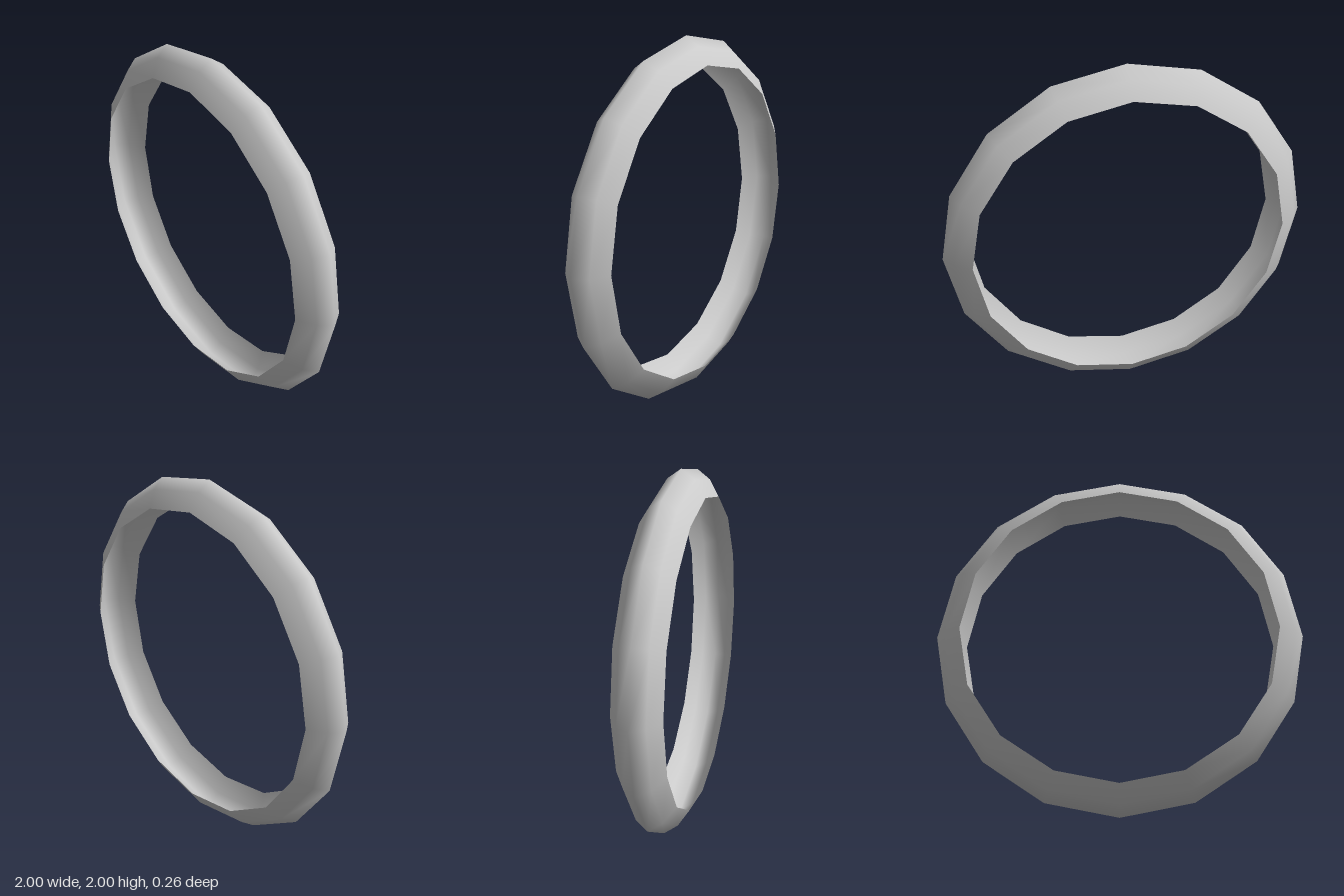
import * as THREE from 'three';

const SIDES = 16;

export function createModel() {
  const group = new THREE.Group();
  group.name = 'ring';

  // Thin open band: profile of [radius, depth] points turned around the z axis, hollow on the inside
  const profile = [[0.857, -0.129], [0.948, -0.072], [1, 0], [0.948, 0.072], [0.857, 0.129]];
  const points = profile.map(([r, z]) => new THREE.Vector2(r, z));
  const geometry = new THREE.LatheGeometry(points, SIDES);
  geometry.rotateX(Math.PI / 2);
  geometry.translate(0, 1, 0);

  const material = new THREE.MeshStandardMaterial({ color: 0xcccccc, side: THREE.DoubleSide });
  const band = new THREE.Mesh(geometry, material);
  band.name = 'band';
  group.add(band);

  return group;
}
